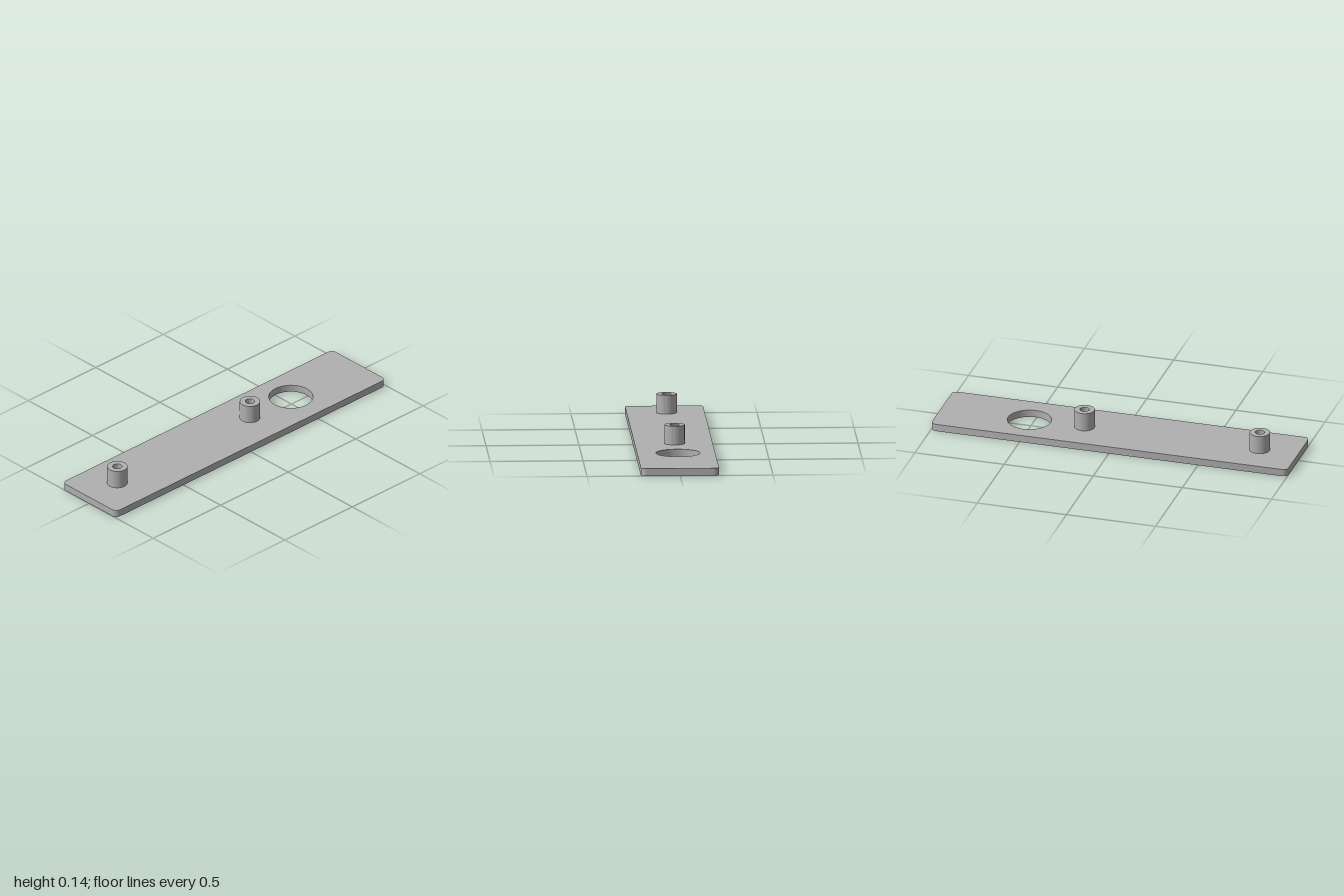
import * as THREE from 'three';
import { toCreasedNormals } from 'three/addons/utils/BufferGeometryUtils.js';

const THICK = 0.04;   // plate thickness
const GROOVE = 0.008; // engraving depth on the underside
const POST_TOP = 0.142;
const POSTS = [[-0.786, -0.005], [0.197, -0.005]];

const V = (p) => new THREE.Vector2(p[0], p[1]);

// Extrude a plan shape (x, z) between two heights
function slab(shape, bottom, top) {
  const geo = new THREE.ExtrudeGeometry(shape, { depth: top - bottom, bevelEnabled: false, curveSegments: 24 });
  geo.rotateX(Math.PI / 2);
  geo.translate(0, top, 0);
  return toCreasedNormals(geo, 0.6);
}

function circle(x, z, r) {
  const p = new THREE.Path();
  p.absarc(x, z, r, 0, Math.PI * 2, true);
  return p;
}

function roundedPlate(hx, hz, r) {
  const s = new THREE.Shape();
  s.absarc(hx - r, hz - r, r, 0, Math.PI / 2);
  s.absarc(-hx + r, hz - r, r, Math.PI / 2, Math.PI);
  s.absarc(-hx + r, -hz + r, r, Math.PI, Math.PI * 1.5);
  s.absarc(hx - r, -hz + r, r, Math.PI * 1.5, Math.PI * 2);
  s.closePath();
  return s;
}

// Outline of a mitred stroke along an open line
function stroke(points, width) {
  const pts = points.map(V);
  const left = [], right = [];
  pts.forEach((p, i) => {
    const a = pts[Math.max(i - 1, 0)], b = pts[Math.min(i + 1, pts.length - 1)];
    const normal = (u, v) => { const d = v.clone().sub(u).normalize(); return new THREE.Vector2(-d.y, d.x); };
    const n1 = i > 0 ? normal(a, p) : normal(p, b);
    const n2 = i < pts.length - 1 ? normal(p, b) : n1;
    const m = n1.clone().add(n2).normalize();
    m.multiplyScalar(width / 2 / m.dot(n1));
    left.push(p.clone().add(m));
    right.unshift(p.clone().sub(m));
  });
  return new THREE.Path([...left, ...right]);
}

// Triangle shrunk about its centroid
function shrink(tri, k) {
  const c = tri.reduce((s, p) => s.add(V(p)), new THREE.Vector2()).divideScalar(3);
  return tri.map((p) => V(p).sub(c).multiplyScalar(k).add(c));
}

export function createModel() {
  const group = new THREE.Group();
  const grey = new THREE.MeshStandardMaterial({ color: 0xb0b0b0 });
  grey.name = 'grey';
  const add = (name, geo) => {
    const mesh = new THREE.Mesh(geo, grey);
    mesh.name = name;
    group.add(mesh);
  };

  // Through holes shared by both plate layers
  const plateShape = () => {
    const s = roundedPlate(1, 0.21, 0.03);
    s.holes.push(circle(0.505, -0.01, 0.119));
    POSTS.forEach(([x, z]) => s.holes.push(circle(x, z, 0.025)));
    return s;
  };

  // Engraved triangles: one by the large hole, four hanging in a row
  const triangles = [
    [[0.917, -0.147], [0.796, -0.15], [0.85, 0.05]],
    [[0.07, -0.107], [-0.042, -0.103], [0.02, 0.034]],
    [[-0.136, -0.115], [-0.238, -0.115], [-0.177, 0.008]],
    [[-0.312, -0.102], [-0.433, -0.095], [-0.36, 0.052]],
    [[-0.493, -0.105], [-0.579, -0.11], [-0.522, 0.009]],
  ];

  // Lower layer carries the engraving
  const engraved = plateShape();
  triangles.forEach((t) => engraved.holes.push(new THREE.Path(t.map(V))));
  engraved.holes.push(stroke([[0.109, -0.132], [-0.647, -0.14]], 0.013));
  engraved.holes.push(stroke([
    [0.087, -0.009], [0.019, 0.061], [-0.17, 0.137], [-0.3, 0.046], [-0.468, 0.129], [-0.632, 0.005],
  ], 0.013));
  engraved.holes.push(circle(0.848, 0.11, 0.016));
  add('engravedUnderside', slab(engraved, 0, GROOVE));
  add('plate', slab(plateShape(), GROOVE, THICK));

  // Raised centres left inside the triangle grooves
  triangles.forEach((t) => add('triangleCentre', slab(new THREE.Shape(shrink(t, 0.6)), 0, GROOVE)));

  // Hollow mounting posts
  POSTS.forEach(([x, z]) => {
    const ring = new THREE.Shape();
    ring.absarc(x, z, 0.055, 0, Math.PI * 2);
    ring.holes.push(circle(x, z, 0.025));
    add('mountingPost', slab(ring, THICK, POST_TOP));
  });

  return group;
}
